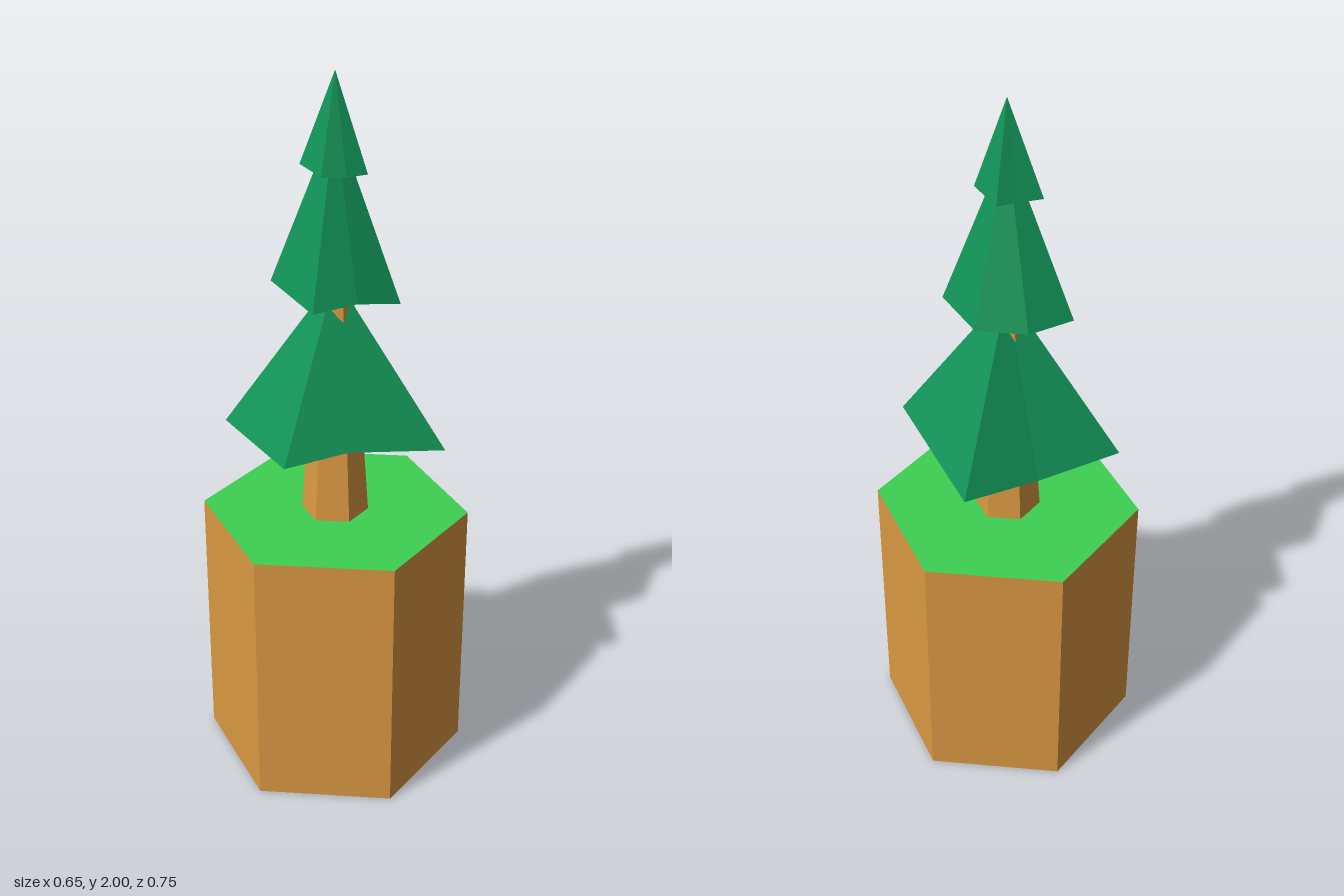
import * as THREE from 'three';

const mat = (color) => new THREE.MeshStandardMaterial({ color, flatShading: true });
const wood = mat(0xdb9a42);
const grass = mat(0x3ed052);
const leaf = mat(0x129458);

// Irregular pyramid: an apex over a ring of corners, closed underneath
function foliage(name, apexY, ring) {
  const apex = [0, apexY, 0];
  const centre = [0, ring.reduce((s, p) => s + p[1], 0) / ring.length, 0];
  const pos = [];
  ring.forEach((a, i) => {
    const b = ring[(i + 1) % ring.length];
    pos.push(...apex, ...a, ...b, ...centre, ...b, ...a);
  });
  const g = new THREE.BufferGeometry();
  g.setAttribute('position', new THREE.Float32BufferAttribute(pos, 3));
  g.computeVertexNormals();
  const m = new THREE.Mesh(g, leaf);
  m.name = name;
  return m;
}

// Six-sided column standing on y
function hexColumn(name, rTop, rBottom, y, h, material) {
  const m = new THREE.Mesh(new THREE.CylinderGeometry(rTop, rBottom, h, 6), material);
  m.position.y = y + h / 2;
  m.name = name;
  return m;
}

export function createModel() {
  const group = new THREE.Group();
  group.name = 'treeOnHexagonalBlock';

  // Earth block with a grass top face, and the tapering trunk
  group.add(hexColumn('groundBlock', 0.373, 0.373, 0, 0.765, [wood, grass, wood]));
  group.add(hexColumn('trunk', 0.042, 0.093, 0.765, 0.75, wood));

  // Foliage tiers; corners run back left, front left, front, front right, back right, back
  group.add(foliage('lowerFoliage', 1.46, [
    [-0.245, 1.0, -0.198], [-0.232, 1.03, 0.187], [-0.05, 1.04, 0.192],
    [0.22, 1.005, 0.228], [0.222, 1.01, -0.233], [0, 0.99, -0.208],
  ]));
  group.add(foliage('middleFoliage', 1.88, [
    [-0.127, 1.42, -0.135], [-0.122, 1.42, 0.128], [0, 1.43, 0.135],
    [0.13, 1.405, 0.125], [0.117, 1.41, -0.063], [0, 1.41, -0.135],
  ]));
  group.add(foliage('topFoliage', 2, [
    [-0.067, 1.75, -0.072], [-0.063, 1.75, 0.053], [0, 1.745, 0.068],
    [0.06, 1.745, 0.067], [0.055, 1.75, -0.06], [0, 1.75, -0.063],
  ]));
  return group;
}
